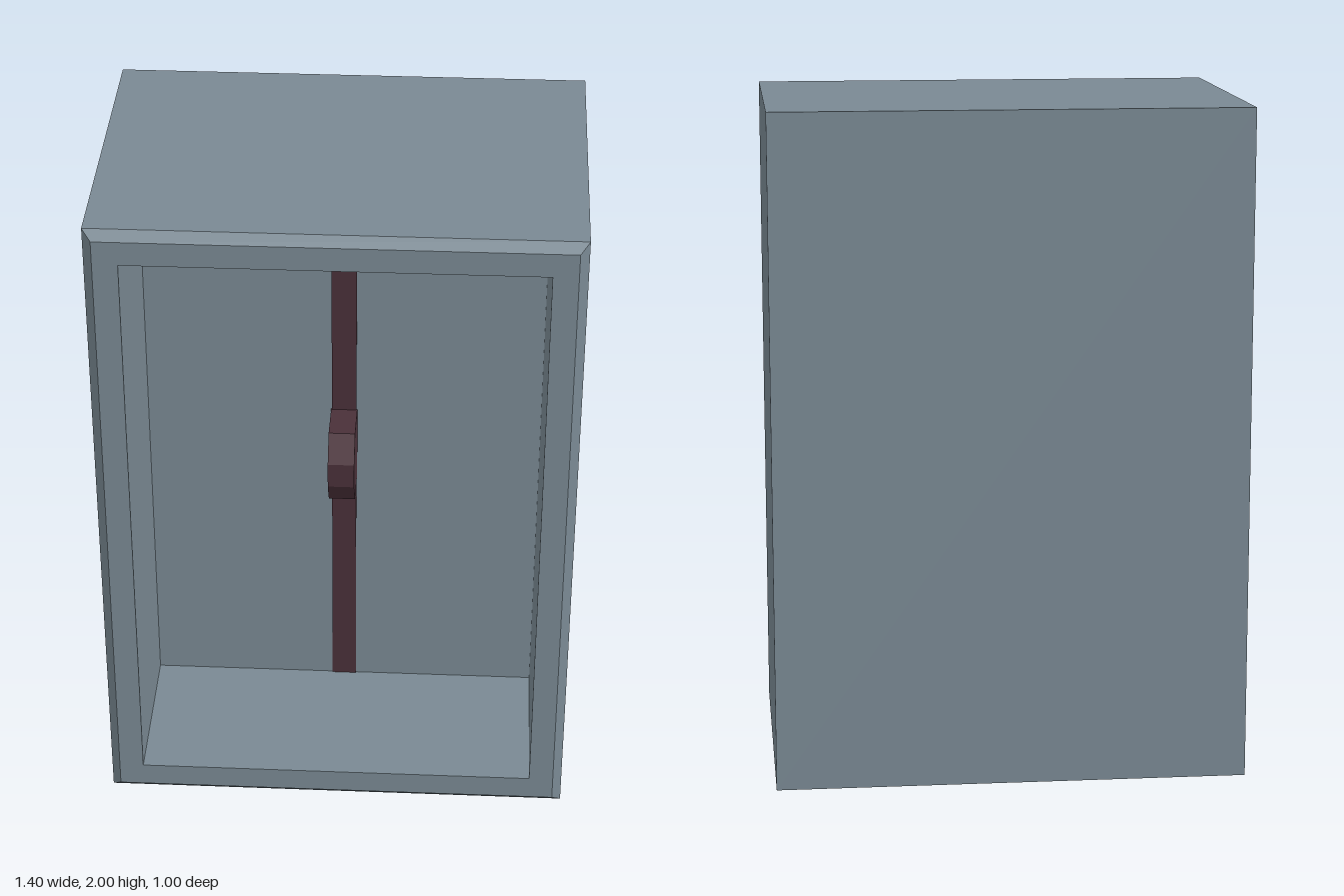
import * as THREE from 'three';

const casing = new THREE.MeshStandardMaterial({ color: 0x7a8993 });
casing.name = 'slate grey';
const trim = new THREE.MeshStandardMaterial({ color: 0x4a3039 });
trim.name = 'dark maroon';

// Skin through rectangles [halfWidth, halfHeight, z], closed at both ends, flat faces
function loftRects(rects) {
  const corners = rects.map(([w, h, z]) => [[-w, -h, z], [w, -h, z], [w, h, z], [-w, h, z]]);
  const pos = [];
  const quad = (a, b, c, d) => pos.push(...a, ...b, ...c, ...a, ...c, ...d);
  for (let i = 0; i < corners.length - 1; i++) {
    const p = corners[i], q = corners[i + 1];
    for (let j = 0; j < 4; j++) {
      const k = (j + 1) % 4;
      quad(p[j], p[k], q[k], q[j]);
    }
  }
  const first = corners[0], last = corners[corners.length - 1];
  quad(first[3], first[2], first[1], first[0]);
  quad(...last);
  const geo = new THREE.BufferGeometry();
  geo.setAttribute('position', new THREE.Float32BufferAttribute(pos, 3));
  geo.computeVertexNormals();
  return geo;
}

function add(group, name, geo, mat, y, z) {
  const mesh = new THREE.Mesh(geo, mat);
  mesh.name = name;
  mesh.position.set(0, y, z);
  group.add(mesh);
}

export function createModel() {
  const group = new THREE.Group();
  group.name = 'cabinet';
  const bevel = 0.027;

  // Casing: back, bevelled front edge, flat rim, recess walls and recess floor
  add(group, 'casing', loftRects([
    [0.7, 1, -0.5],
    [0.7, 1, 0.5 - bevel],
    [0.7 - bevel, 1 - bevel, 0.5],
    [0.6, 0.9, 0.5],
    [0.6, 0.9, 0],
  ]), casing, 1, 0);

  // Thin strip down the middle of the recess
  add(group, 'centreStrip', new THREE.BoxGeometry(0.075, 1.8, 0.004), trim, 1, 0.002);

  // Handle: chamfered side profile (z, y) extruded across x
  const profile = new THREE.Shape([
    [0, -0.12], [0.135, -0.12], [0.187, -0.04], [0.187, 0.04], [0.135, 0.12], [0, 0.12],
  ].map(([z, y]) => new THREE.Vector2(z, y)));
  const handle = new THREE.ExtrudeGeometry(profile, { depth: 0.08, bevelEnabled: false });
  handle.translate(0, 0, -0.04).rotateY(-Math.PI / 2);
  add(group, 'handle', handle, trim, 1, 0);

  return group;
}
